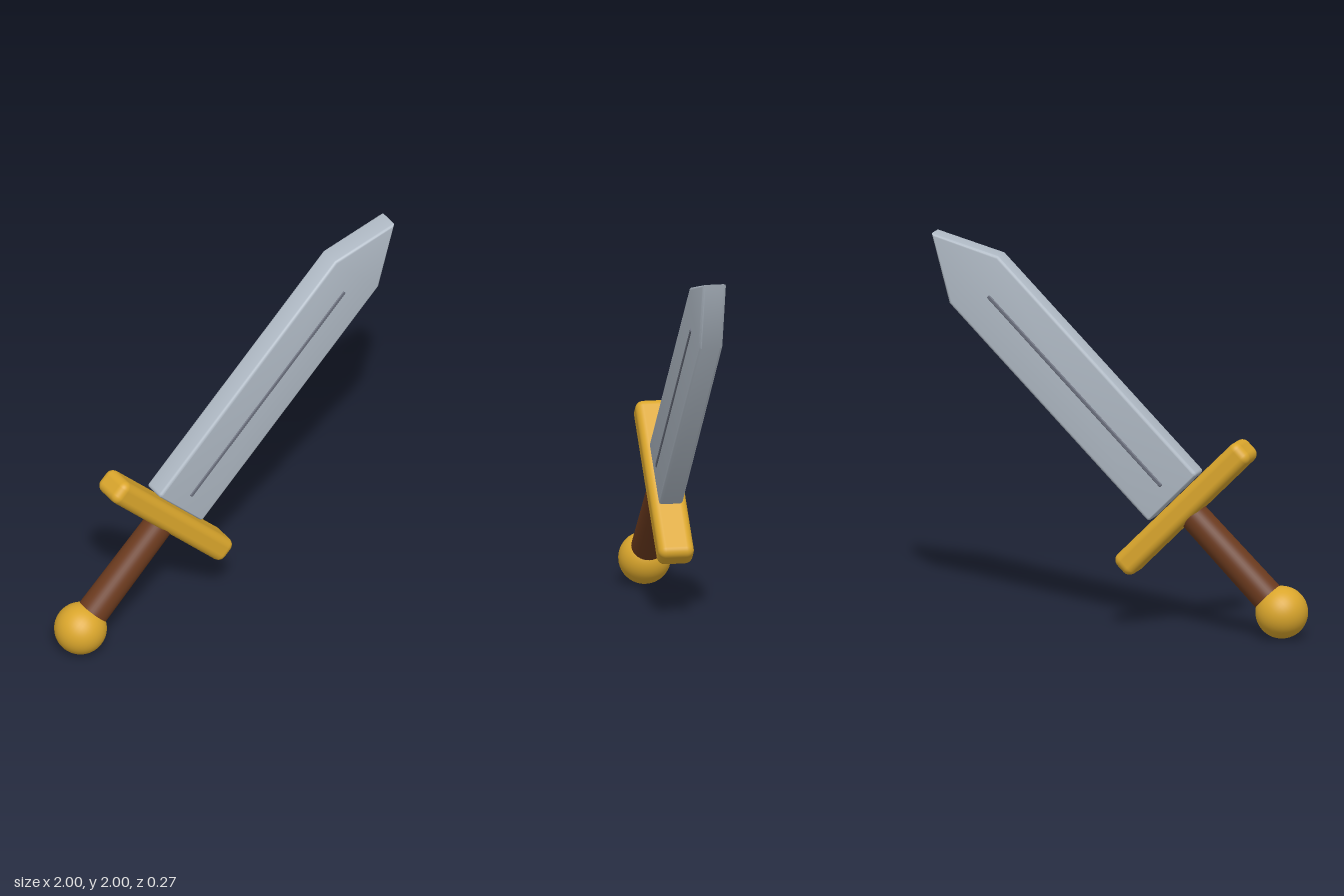
import * as THREE from 'three';
import { toCreasedNormals } from 'three/addons/utils/BufferGeometryUtils.js';
import { RoundedBoxGeometry } from 'three/addons/geometries/RoundedBoxGeometry.js';

function material(name, color) {
  const m = new THREE.MeshStandardMaterial({ color });
  m.name = name;
  return m;
}

// Blade outline: rounded heel corners, straight edges, pointed tip
function bladeGeometry() {
  const w = 0.185, heel = 0.803, shoulder = 2.316, tip = 2.637, r = 0.018;
  const outline = new THREE.Shape();
  outline.moveTo(-w + r, heel);
  outline.lineTo(w - r, heel);
  outline.quadraticCurveTo(w, heel, w, heel + r);
  outline.lineTo(w, shoulder);
  outline.lineTo(0, tip);
  outline.lineTo(-w, shoulder);
  outline.lineTo(-w, heel + r);
  outline.quadraticCurveTo(-w, heel, -w + r, heel);

  const half = 0.062, bevel = 0.016;
  const geometry = new THREE.ExtrudeGeometry(outline, {
    depth: 2 * (half - bevel), curveSegments: 4,
    bevelThickness: bevel, bevelSize: bevel, bevelOffset: -bevel, bevelSegments: 4,
  });
  geometry.translate(0, 0, bevel - half);
  return toCreasedNormals(geometry, 0.6);
}

export function createModel() {
  const gold = material('gold', 0xdaa62c);
  const leather = material('brown leather', 0x6b3a1e);
  const steel = material('steel', 0xb0bac5);
  const darkSteel = material('dark steel', 0x6a6f7d);

  const model = new THREE.Group();
  model.name = 'sword';

  // The sword is built upright from the pommel centre, then tilted
  const sword = new THREE.Group();
  sword.name = 'tiltedSword';
  sword.position.set(-0.865, 0.135, 0);
  sword.rotation.z = -Math.PI / 4;
  model.add(sword);

  function add(name, geometry, mat, y = 0, z = 0) {
    const mesh = new THREE.Mesh(geometry, mat);
    mesh.name = name;
    mesh.position.set(0, y, z);
    sword.add(mesh);
  }

  add('pommel', new THREE.SphereGeometry(0.135, 40, 28), gold);
  add('grip', new THREE.CylinderGeometry(0.077, 0.084, 0.66, 40), leather, 0.37);
  add('crossguard', new RoundedBoxGeometry(0.94, 0.13, 0.186, 5, 0.042), gold, 0.728);
  add('blade', bladeGeometry(), steel);

  // Thin raised line on both faces of the blade
  for (const side of [1, -1]) {
    add(side > 0 ? 'frontFuller' : 'backFuller',
      new RoundedBoxGeometry(0.02, 1.315, 0.012, 3, 0.005), darkSteel, 1.546, side * 0.061);
  }

  return model;
}
